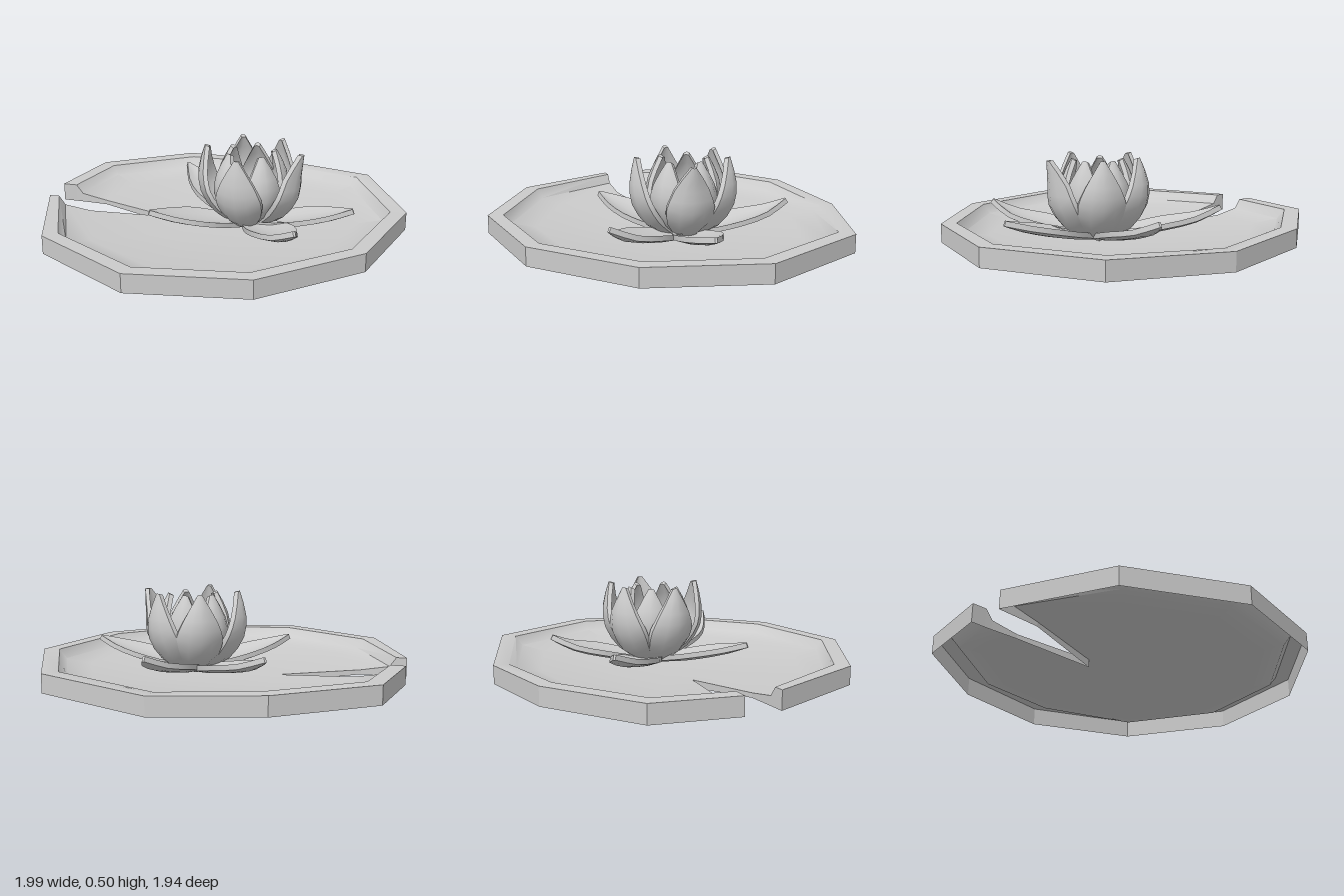
import * as THREE from 'three';
import { toCreasedNormals } from 'three/addons/utils/BufferGeometryUtils.js';

const material = new THREE.MeshStandardMaterial({ color: 0xcccccc, side: THREE.DoubleSide });
const flatMaterial = new THREE.MeshStandardMaterial({ color: 0xcccccc, side: THREE.DoubleSide, flatShading: true });

function makeGeometry(points, index, crease) {
  const g = new THREE.BufferGeometry();
  g.setAttribute('position', new THREE.Float32BufferAttribute(points.flat(), 3));
  g.setIndex(index);
  return toCreasedNormals(g, crease);
}

function addMesh(parent, name, geometry, mat = material) {
  const mesh = new THREE.Mesh(geometry, mat);
  mesh.name = name;
  parent.add(mesh);
  return mesh;
}

// Pad outline (x, z) from one side of the notch around to the other
const OUTLINE = [
  [-0.97, 0.16], [-0.71, 0.7], [-0.14, 0.97], [0.46, 0.83], [0.89, 0.37], [1, -0.24],
  [0.69, -0.8], [0.06, -0.97], [-0.49, -0.86], [-0.94, -0.49], [-0.99, -0.04],
];
// Concentric rings: scale, height, and the points where they meet the notch
const RINGS = [
  { s: 1, y: 0.15, a: OUTLINE[0], b: OUTLINE[10] },
  { s: 0.915, y: 0.15, a: [-0.915, 0.153], b: [-0.91, -0.045] },
  { s: 0.875, y: 0.1, a: [-0.88, 0.149], b: [-0.87, -0.047] },
  { s: 0.74, y: 0.075, a: [-0.73, 0.13], b: [-0.72, -0.05] },
  { s: 0.35, y: 0.045, a: [-0.3, 0], b: [-0.3, 0] },
];

function buildPad() {
  const pad = new THREE.Group();
  pad.name = 'lilyPad';
  const n = OUTLINE.length;
  const rows = RINGS.map(({ s, y, a, b }) => OUTLINE.map(([x, z], i) => {
    const [px, pz] = i === 0 ? a : i === n - 1 ? b : [x * s, z * s];
    const dip = i === 7 && s > 0.9 ? 0.02 : 0; // the back corner sags a little
    return [px, y - dip, pz];
  }));

  // Dished upper surface
  const points = rows.flat();
  const index = [];
  const last = RINGS.length - 1;
  for (let r = 0; r < last; r++) {
    for (let i = 0; i < n - 1; i++) {
      const a = r * n + i, d = a + n;
      index.push(a, a + 1, d + 1);
      index.push(a, d + 1, d);
    }
  }
  points.push([0.05, 0.037, 0]);
  for (let i = 0; i < n - 1; i++) index.push(last * n + i, last * n + i + 1, points.length - 1);
  addMesh(pad, 'padSurface', makeGeometry(points, index, 0.78));

  // Skirt around the rim and along both sides of the notch
  const sideA = rows.map((r) => r[0]).reverse();
  const sideB = rows.map((r) => r[n - 1]);
  const loop = [...sideA, ...rows[0].slice(1, n - 1), ...sideB];
  const wall = [], wallIndex = [];
  loop.forEach(([x, y, z], i) => {
    const bottom = x === -0.3 ? 0.003 : y < 0.12 ? 0.05 : y - 0.1;
    wall.push([x, y, z], [x, bottom, z]);
    if (i > 0) {
      const k = i * 2;
      wallIndex.push(k - 2, k - 1, k + 1, k - 2, k + 1, k);
    }
  });
  addMesh(pad, 'padSkirt', makeGeometry(wall, wallIndex, 0.1), flatMaterial);
  return pad;
}

// Thick cupped petal along local +x; stations are [reach, height, half width]
function petalGeometry(stations, cup, thickness) {
  const curve = new THREE.CatmullRomCurve3(stations.map((s) => new THREE.Vector3(...s)));
  const rows = 9, across = [-1, -0.5, 0, 0.5, 1], m = across.length * 2;
  const points = [], index = [];
  for (let r = 0; r < rows; r++) {
    const p = curve.getPoint(r / (rows - 1));
    const t = curve.getTangent(r / (rows - 1));
    const len = Math.hypot(t.x, t.y), nx = -t.y / len, ny = t.x / len;
    const hw = Math.max(p.z, 0.005);
    const put = (u, drop) => {
      const k = cup * hw * u * u - drop;
      points.push([p.x + nx * k, p.y + ny * k, u * hw]);
    };
    across.forEach((u) => put(u, 0));
    [...across].reverse().forEach((u) => put(u, thickness));
  }
  for (let r = 0; r < rows - 1; r++) {
    for (let j = 0; j < m; j++) {
      const a = r * m + j, b = r * m + (j + 1) % m;
      index.push(a, b, b + m, a, b + m, a + m);
    }
  }
  // End caps
  const e = (rows - 1) * m;
  for (let j = 0; j < across.length - 1; j++) {
    const [a, b, c, d] = [j, j + 1, m - 2 - j, m - 1 - j];
    index.push(a, c, b, a, d, c);
    index.push(e + a, e + b, e + c, e + a, e + c, e + d);
  }
  return makeGeometry(points, index, 0.7);
}

function buildFlower() {
  const flower = new THREE.Group();
  flower.name = 'flower';
  flower.position.set(0.17, 0, -0.04);

  // Spreading petals: tip offset in x and z, tip height
  [[0.57, 0, 0.21], [0.37, 0.47, 0.24], [-0.44, 0.37, 0.21], [-0.52, -0.4, 0.23], [0.05, -0.57, 0.23]]
    .forEach(([x, z, tip]) => {
      const reach = Math.hypot(x, z);
      const shape = [[0.05, 0.075, 0.06], [0.3, 0.095, 0.105], [0.55, 0.125, 0.12], [0.8, 0.165, 0.075], [1, tip, 0.006]]
        .map(([t, y, w]) => [t * reach, y, w]);
      const petal = addMesh(flower, 'spreadingPetal', petalGeometry(shape, 0.22, 0.028));
      petal.rotation.y = -Math.atan2(z, x);
    });

  // Upright cup petals: direction in degrees, tip reach
  const cupPetal = (name, degrees, shape) => {
    const petal = addMesh(flower, name, petalGeometry(shape, 0.5, 0.025));
    petal.rotation.y = -THREE.MathUtils.degToRad(degrees);
  };
  [[90, 0.24], [5, 0.28], [-60, 0.23], [-118, 0.22], [172, 0.23]].forEach(([deg, tip]) => {
    cupPetal('cupPetal', deg, [
      [0.06, 0.07, 0.05], [0.18, 0.14, 0.11], [0.255, 0.25, 0.125], [0.265, 0.36, 0.09], [tip, 0.49, 0.012],
    ]);
  });

  // Inner petals closing over the middle
  [48, 132, -90, -25, -155].forEach((deg) => {
    cupPetal('innerPetal', deg, [
      [0.03, 0.08, 0.05], [0.13, 0.15, 0.09], [0.185, 0.25, 0.105], [0.175, 0.36, 0.08], [0.12, 0.47, 0.015],
    ]);
  });
  return flower;
}

export function createModel() {
  const model = new THREE.Group();
  model.name = 'waterLily';
  model.add(buildPad(), buildFlower());
  return model;
}
